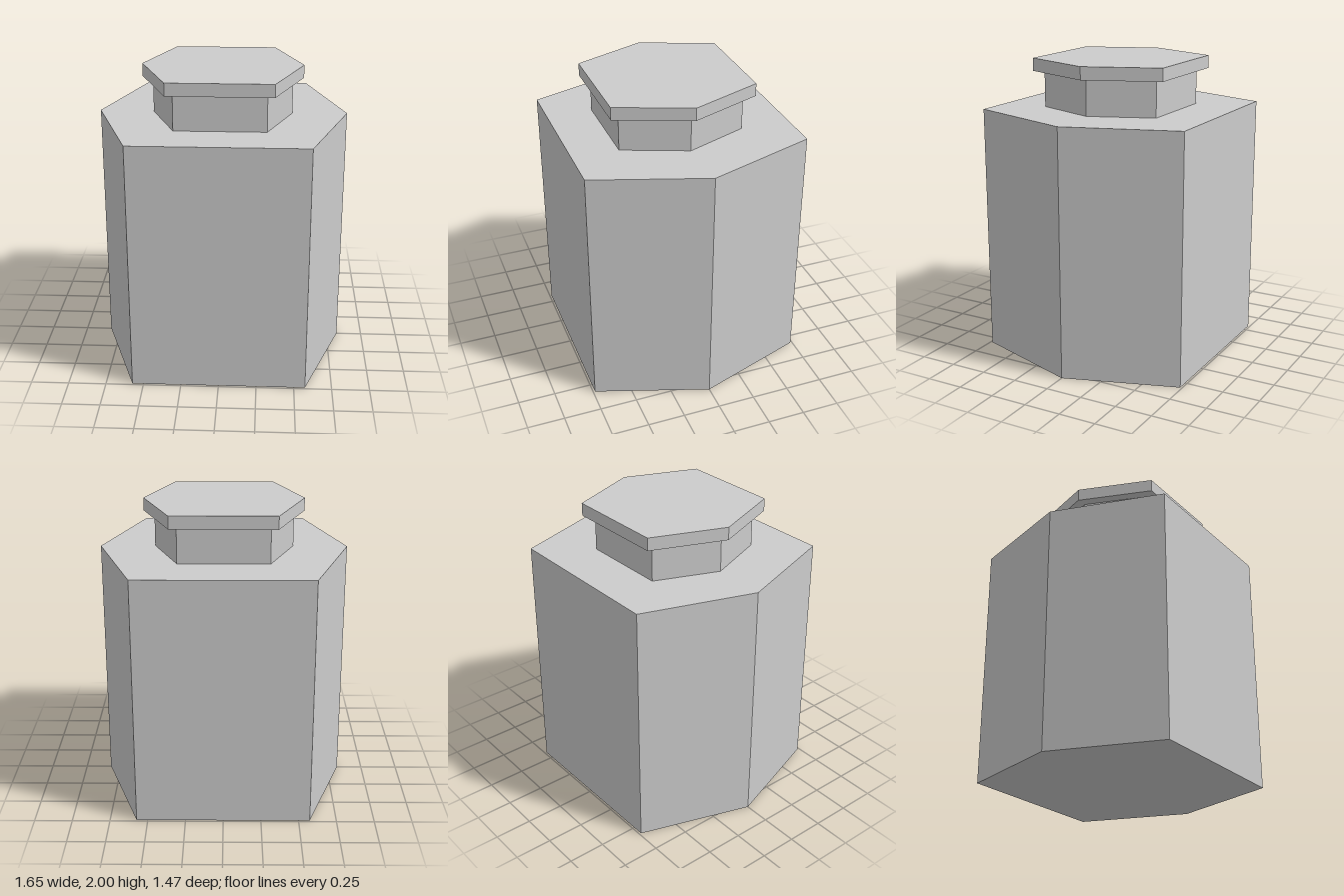
import * as THREE from 'three';

const material = new THREE.MeshStandardMaterial({ color: 0xcccccc, flatShading: true });

// Upright six-sided prism: points at +-tipX, flat front and back at +-halfZ
function hexPrism(name, tipX, flatX, halfZ, y0, y1, x = 0, z = 0) {
  const shape = new THREE.Shape([
    [tipX, 0], [flatX, halfZ], [-flatX, halfZ],
    [-tipX, 0], [-flatX, -halfZ], [flatX, -halfZ],
  ].map(([px, py]) => new THREE.Vector2(px, py)));
  const geometry = new THREE.ExtrudeGeometry(shape, { depth: y1 - y0, bevelEnabled: false });
  geometry.rotateX(-Math.PI / 2);
  const mesh = new THREE.Mesh(geometry, material);
  mesh.name = name;
  mesh.position.set(x, y0, z);
  return mesh;
}

export function createModel() {
  const group = new THREE.Group();
  group.name = 'hexagonalJar';
  group.add(
    hexPrism('body', 0.825, 0.574, 0.737, 0, 1.672),
    // Neck and lid sit slightly forward of the body's centre
    hexPrism('neck', 0.463, 0.298, 0.418, 1.672, 1.915, -0.002, 0.013),
    hexPrism('lid', 0.533, 0.343, 0.482, 1.914, 2, -0.001, 0.01),
  );
  return group;
}
